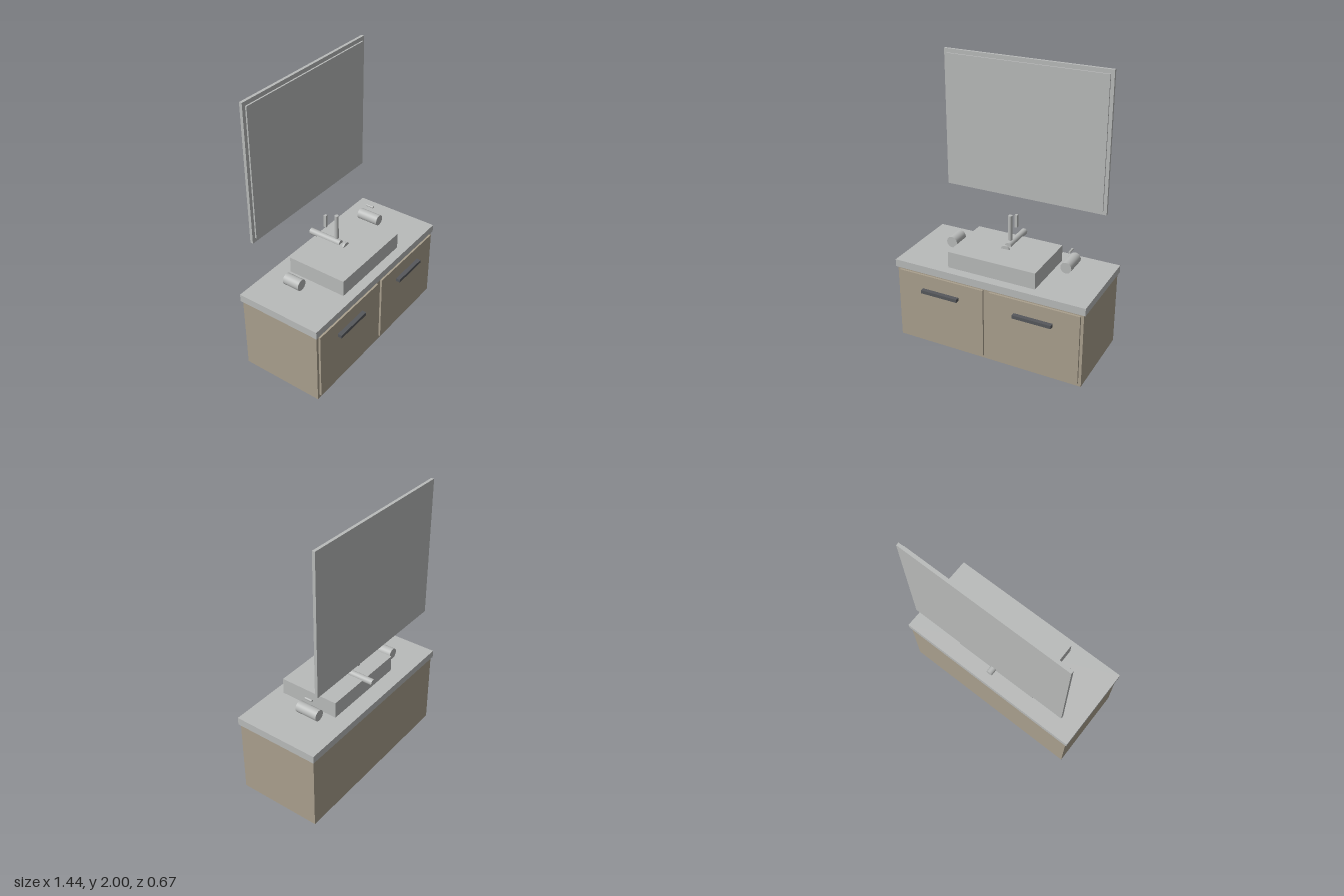
import * as THREE from 'three';

export function createModel() {
  const group = new THREE.Group();
  group.name = 'bathroomVanity';

  const material = (name, color) => {
    const m = new THREE.MeshStandardMaterial({ color });
    m.name = name;
    return m;
  };
  const grey = material('light grey', 0xb9bbba);
  const wood = material('pale wood', 0xaaa08e);
  const dark = material('dark metal', 0x56585c);

  const add = (name, geometry, mat, x, y, z) => {
    const mesh = new THREE.Mesh(geometry, mat);
    mesh.name = name;
    mesh.position.set(x, y, z);
    group.add(mesh);
    return mesh;
  };

  // Box given by its limits on each axis
  const box = (name, mat, [x0, x1], [y0, y1], [z0, z1]) =>
    add(name, new THREE.BoxGeometry(x1 - x0, y1 - y0, z1 - z0), mat,
      (x0 + x1) / 2, (y0 + y1) / 2, (z0 + z1) / 2);

  // Round bar lying along z
  const barZ = (name, r, x, y, z0, z1) => {
    const geometry = new THREE.CylinderGeometry(r, r, z1 - z0, 32).rotateX(Math.PI / 2);
    return add(name, geometry, grey, x, y, (z0 + z1) / 2);
  };

  // Cabinet and countertop
  box('cabinet', wood, [-0.705, 0.705], [0, 0.56], [-0.325, 0.29]);
  box('countertop', grey, [-0.718, 0.718], [0.56, 0.615], [-0.335, 0.3]);

  // Drawer fronts with bar handles
  for (const [side, s] of [['right', -1], ['left', 1]]) {
    const x = s * 0.354;
    box(side + 'DrawerFront', wood, [x - 0.331, x + 0.331], [0.027, 0.547], [0.29, 0.305]);
    box(side + 'Handle', dark, [x - 0.142, x + 0.142], [0.418, 0.442], [0.305, 0.336]);
  }

  // Basin
  box('basin', grey, [-0.33, 0.33], [0.615, 0.735], [-0.216, 0.23]);

  // Drain and faucet
  barZ('drain', 0.033, 0, 0.726, 0.001, 0.017);
  barZ('faucetBody', 0.0235, 0, 0.737, -0.288, -0.029);
  add('faucetSpout', new THREE.CylinderGeometry(0.0145, 0.0145, 0.187, 32), grey, 0, 0.8635, -0.064);
  box('faucetLever', grey, [-0.01, 0.01], [0.828, 0.923], [-0.169, -0.149]);

  // Cup, soap dispenser and its pump
  barZ('cup', 0.041, -0.449, 0.664, -0.153, -0.025);
  barZ('soapDispenser', 0.04, 0.447, 0.688, -0.172, -0.005);
  barZ('soapPump', 0.008, 0.447, 0.782, -0.116, -0.059);

  // Mirror
  box('mirrorFrame', grey, [-0.617, 0.617], [1, 2], [-0.298, -0.277]);
  box('mirrorGlass', grey, [-0.592, 0.592], [1.031, 1.971], [-0.277, -0.266]);

  return group;
}
